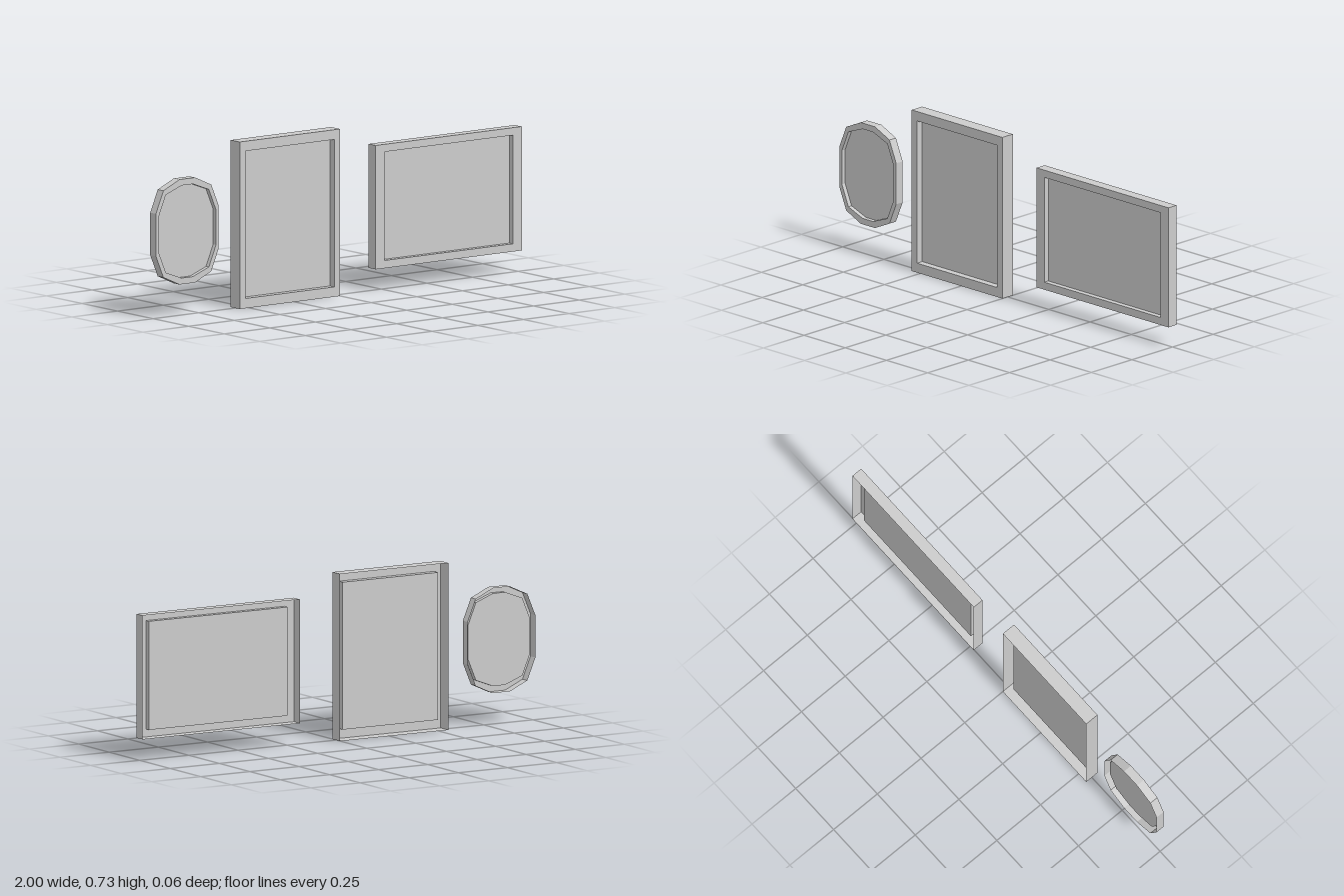
import * as THREE from 'three';

const material = new THREE.MeshStandardMaterial({
  color: 0xcccccc, flatShading: true, side: THREE.DoubleSide,
});

// Counter-clockwise outlines
const rect = (x0, y0, x1, y1) =>
  [[x0, y0], [x1, y0], [x1, y1], [x0, y1]].map(([x, y]) => new THREE.Vector2(x, y));

// Twelve-sided oval mirrored from one quadrant
function oval(cx, cy, quadrant) {
  const back = [...quadrant].reverse();
  return [
    ...quadrant,
    ...back.map(([x, y]) => [-x, y]),
    ...quadrant.map(([x, y]) => [-x, -y]),
    ...back.map(([x, y]) => [x, -y]),
  ].map(([x, y]) => new THREE.Vector2(cx + x, cy + y));
}

// Thin wall following an outline between two depths
function wall(points, zBack, zFront) {
  const pos = [];
  points.forEach((a, i) => {
    const b = points[(i + 1) % points.length];
    pos.push(a.x, a.y, zBack, b.x, b.y, zBack, b.x, b.y, zFront);
    pos.push(a.x, a.y, zBack, b.x, b.y, zFront, a.x, a.y, zFront);
  });
  const geo = new THREE.BufferGeometry();
  geo.setAttribute('position', new THREE.Float32BufferAttribute(pos, 3));
  geo.computeVertexNormals();
  return geo;
}

// Hollow frame, open at the back, with a panel recessed halfway
function pictureFrame(name, outer, inner, halfDepth) {
  const group = new THREE.Group();
  group.name = name;
  const add = (part, geo) => {
    const mesh = new THREE.Mesh(geo, material);
    mesh.name = part;
    group.add(mesh);
  };
  const border = new THREE.Shape(outer);
  border.holes.push(new THREE.Path(inner));
  add('outerWall', wall(outer, -halfDepth, halfDepth));
  add('frontBorder', new THREE.ShapeGeometry(border).translate(0, 0, halfDepth));
  add('innerLip', wall(inner, 0, halfDepth));
  add('picturePanel', new THREE.ShapeGeometry(new THREE.Shape(inner)));
  return group;
}

export function createModel() {
  const model = new THREE.Group();
  model.name = 'pictureFrames';
  model.add(
    pictureFrame('ovalFrame',
      oval(-0.828, 0.369, [[0.172, 0.093], [0.131, 0.19], [0.043, 0.23]]),
      oval(-0.828, 0.369, [[0.157, 0.077], [0.118, 0.17], [0.031, 0.203]]), 0.02),
    pictureFrame('portraitFrame',
      rect(-0.55, 0, 0, 0.732), rect(-0.518, 0.043, -0.032, 0.689), 0.032),
    pictureFrame('landscapeFrame',
      rect(0.2, 0.095, 1, 0.638), rect(0.247, 0.129, 0.953, 0.605), 0.025),
  );
  return model;
}
